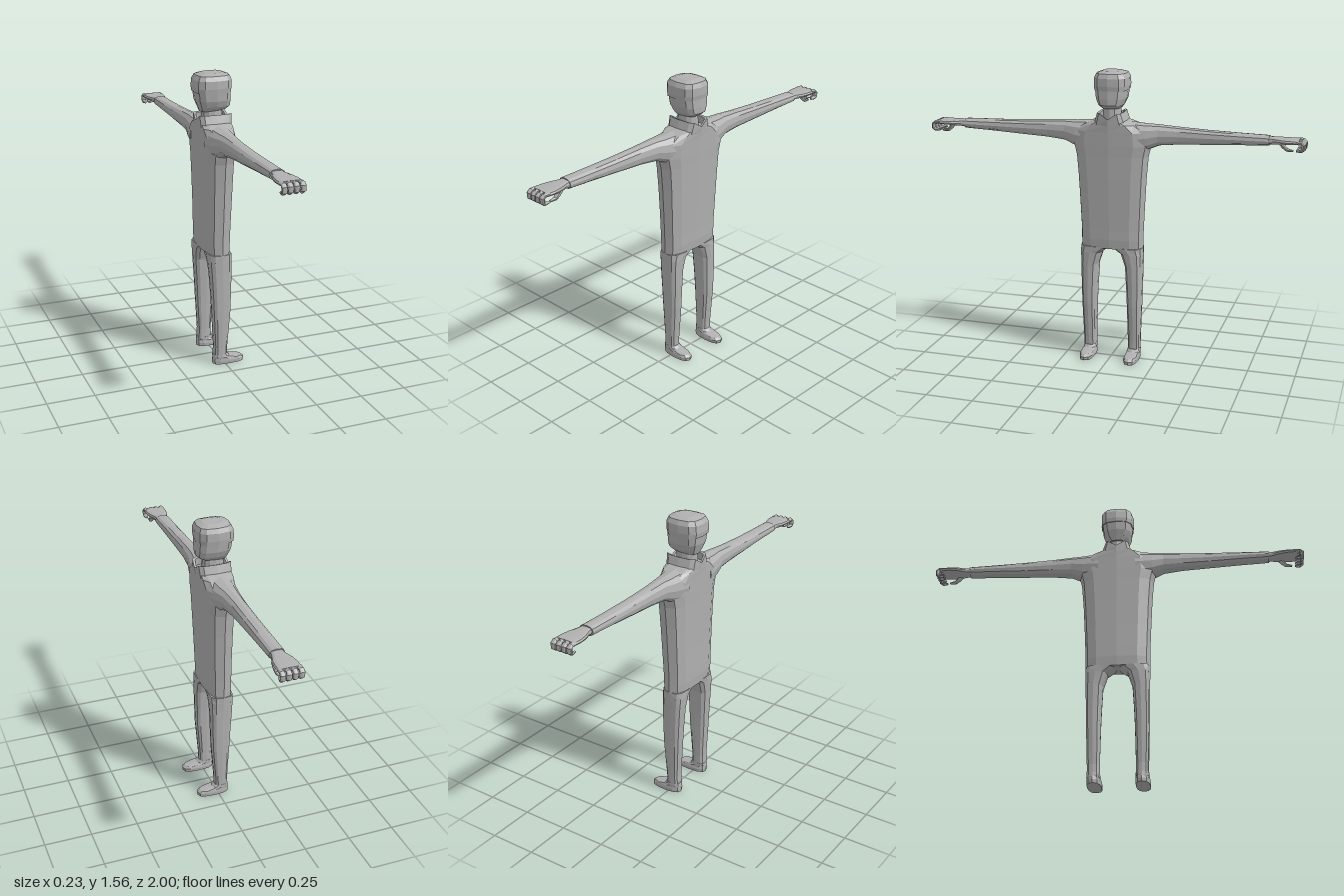
import * as THREE from 'three';

const SIDES = 12;

// Rounded-square outline point: n = 2 is an ellipse, higher is boxier
function outline(i, n) {
  const t = (i / SIDES) * Math.PI * 2;
  const f = (v) => Math.sign(v) * Math.pow(Math.abs(v) < 1e-9 ? 0 : Math.abs(v), 2 / n);
  return [f(Math.cos(t)), f(Math.sin(t))];
}

const eachSide = (fn) => Array.from({ length: SIDES }, (_, i) => fn(i));

// Horizontal cross-section at height y
function ringY([y, x0, x1, z0, z1], n = 3) {
  return eachSide((i) => {
    const [c, s] = outline(i, n);
    return [(x0 + x1) / 2 + ((x1 - x0) / 2) * c, y, (z0 + z1) / 2 - ((z1 - z0) / 2) * s];
  });
}

// Upright cross-section at distance z along an arm
function ringZ([z, x0, x1, y0, y1], n = 2.4) {
  return eachSide((i) => {
    const [c, s] = outline(i, n);
    return [(x0 + x1) / 2 + ((x1 - x0) / 2) * c, (y0 + y1) / 2 + ((y1 - y0) / 2) * s, z];
  });
}

// Cross-sections following a path of [z, y, radius] in the plane x
function ringsOnPath(path, x, width) {
  return path.map(([z, y, r], k) => {
    const a = path[Math.max(k - 1, 0)], b = path[Math.min(k + 1, path.length - 1)];
    const len = Math.hypot(b[0] - a[0], b[1] - a[1]);
    const tz = (b[0] - a[0]) / len, ty = (b[1] - a[1]) / len;
    return eachSide((i) => {
      const [c, s] = outline(i, 2);
      return [x + c * r * width, y + s * r * tz, z - s * r * ty];
    });
  });
}

// Skin a list of cross-sections; mirror flips it across z
function loft(rings, { caps = true, mirror = false } = {}) {
  const pos = [], idx = [], n = SIDES;
  rings.forEach((r) => r.forEach((p) => pos.push(p[0], p[1], mirror ? -p[2] : p[2])));
  const tri = (a, b, c) => (mirror ? idx.push(a, c, b) : idx.push(a, b, c));
  for (let k = 0; k < rings.length - 1; k++) {
    for (let i = 0; i < n; i++) {
      const j = (i + 1) % n, a = k * n, b = a + n;
      tri(a + i, a + j, b + j);
      tri(a + i, b + j, b + i);
    }
  }
  if (caps) {
    const last = (rings.length - 1) * n;
    for (let i = 1; i < n - 1; i++) {
      tri(0, i + 1, i);
      tri(last, last + i, last + i + 1);
    }
  }
  const g = new THREE.BufferGeometry();
  g.setAttribute('position', new THREE.Float32BufferAttribute(pos, 3));
  g.setIndex(idx);
  g.computeVertexNormals();
  return g;
}

export function createModel() {
  const group = new THREE.Group();
  const grey = new THREE.MeshStandardMaterial({ color: 0xb0b0b0, flatShading: true });
  grey.name = 'plain grey';
  const add = (name, geometry, parent = group) => {
    const mesh = new THREE.Mesh(geometry, grey);
    mesh.name = name;
    parent.add(mesh);
  };

  // Torso: [y, back, front, half width]
  const torso = [
    [0.62, -0.085, 0.042, 0.17], [0.67, -0.09, 0.047, 0.17], [0.72, -0.091, 0.048, 0.171],
    [0.85, -0.092, 0.053, 0.177], [1.0, -0.095, 0.059, 0.185], [1.12, -0.098, 0.063, 0.195],
    [1.18, -0.1, 0.066, 0.21], [1.25, -0.102, 0.069, 0.2], [1.288, -0.104, 0.072, 0.14],
    [1.305, -0.1, 0.07, 0.085],
  ];
  add('torso', loft(torso.map(([y, a, b, w]) => ringY([y, a, b, -w, w]))));

  // Stand-up collar, highest at the four corners and open in the middle
  const collarRing = (y, lift, a, b, w) => ringY([y, a, b, -w, w], 4).map(([x, h, z]) =>
    [x, h + lift * Math.min(1, Math.abs(z) / (w * 0.6)), z]);
  add('collar', loft([
    collarRing(1.285, 0, -0.104, 0.073, 0.088),
    collarRing(1.318, 0.03, -0.107, 0.078, 0.066),
    collarRing(1.316, 0.028, -0.096, 0.066, 0.056),
    collarRing(1.29, 0, -0.09, 0.06, 0.06),
  ], { caps: false }));

  // Neck and head
  add('neck', loft([
    ringY([1.29, -0.075, 0.04, -0.05, 0.05], 2.2),
    ringY([1.38, -0.075, 0.035, -0.045, 0.045], 2.2),
  ]));
  const chin = ringY([1.362, -0.085, 0.055, -0.045, 0.045]).map(([x, y, z]) => [x, y + 0.06 * (x + 0.085), z]);
  add('head', loft([
    chin,
    ringY([1.388, -0.095, 0.073, -0.064, 0.064]),
    ringY([1.42, -0.107, 0.074, -0.078, 0.078]),
    ringY([1.485, -0.115, 0.072, -0.086, 0.086]),
  ]));
  add('hair', loft([
    ringY([1.462, -0.117, 0.073, -0.087, 0.087]),
    ringY([1.485, -0.12, 0.077, -0.09, 0.09]),
    ringY([1.525, -0.117, 0.077, -0.089, 0.089]),
    ringY([1.548, -0.104, 0.067, -0.077, 0.077]),
    ringY([1.559, -0.065, 0.035, -0.045, 0.045]),
  ]));

  for (const side of ['left', 'right']) {
    // The figure faces +x, so its right limbs lie at +z
    const mirror = side === 'left';
    const limb = (rings) => loft(rings, { mirror });

    // Leg, spreading inward to close the crotch
    add(side + 'Leg', limb([
      [0.035, -0.058, 0.015, 0.09, 0.156], [0.1, -0.055, 0.017, 0.091, 0.157],
      [0.3, -0.066, 0.034, 0.087, 0.163], [0.4, -0.071, 0.037, 0.083, 0.165],
      [0.52, -0.079, 0.04, 0.076, 0.167], [0.59, -0.084, 0.042, 0.052, 0.169],
      [0.625, -0.086, 0.043, 0, 0.17],
    ].map((r) => ringY(r))));

    // Shoe
    add(side + 'Shoe', limb([
      [0, -0.063, 0.113, 0.086, 0.16], [0.018, -0.065, 0.115, 0.084, 0.161],
      [0.03, -0.063, 0.1, 0.087, 0.159], [0.042, -0.061, 0.03, 0.088, 0.158],
      [0.055, -0.059, 0.017, 0.089, 0.157],
    ].map((r) => ringY(r, 2.6))));

    // Sleeve
    add(side + 'Arm', limb([
      [0.1, -0.1, 0.06, 1.13, 1.3], [0.19, -0.086, 0.044, 1.155, 1.293],
      [0.25, -0.074, 0.029, 1.181, 1.291], [0.35, -0.067, 0.019, 1.191, 1.284],
      [0.5, -0.064, 0.017, 1.199, 1.276], [0.65, -0.062, 0.018, 1.208, 1.271],
      [0.815, -0.06, 0.02, 1.216, 1.267],
    ].map((r) => ringZ(r))));

    // Hand with curled fingers and thumb
    const hand = new THREE.Group();
    hand.name = side + 'Hand';
    group.add(hand);
    add('palm', limb([
      [0.8, -0.052, 0.014, 1.223, 1.262], [0.83, -0.054, 0.016, 1.225, 1.261],
      [0.88, -0.073, 0.034, 1.229, 1.258], [0.92, -0.079, 0.04, 1.231, 1.257],
      [0.965, -0.079, 0.04, 1.233, 1.256],
    ].map((r) => ringZ(r, 3))), hand);
    const curl = [
      [0.95, 1.245, 0.01], [0.978, 1.245, 0.01], [0.989, 1.235, 0.011],
      [0.989, 1.213, 0.01], [0.978, 1.205, 0.009], [0.953, 1.204, 0.005],
    ];
    for (let f = 0; f < 4; f++) add('finger', limb(ringsOnPath(curl, -0.065 + f * 0.0305, 1.35)), hand);
    const thumb = [[0.875, 1.24, 0.012], [0.89, 1.222, 0.011], [0.908, 1.206, 0.009], [0.938, 1.202, 0.005]];
    add('thumb', limb(ringsOnPath(thumb, 0.018, 1.3)), hand);
  }
  return group;
}
